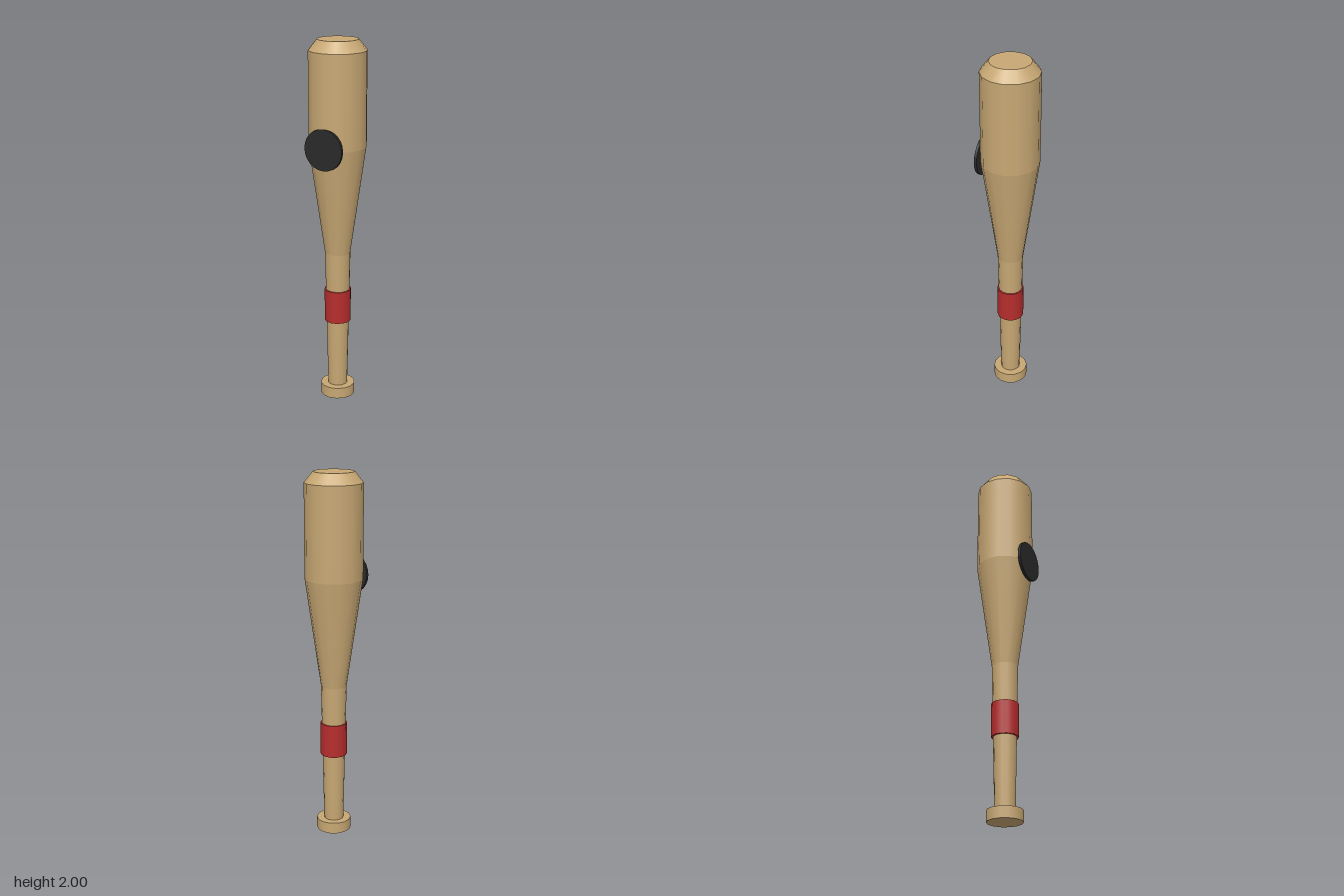
import * as THREE from 'three';

const SIDES = 14;

export function createModel() {
  const bat = new THREE.Group();
  bat.name = 'bat';

  const material = (name, color) => {
    const m = new THREE.MeshStandardMaterial({ color });
    m.name = name;
    return m;
  };
  const wood = material('wood', 0xc8a874);
  const red = material('red grip', 0xb72d2d);
  const black = material('black badge', 0x2a2a2a);

  // Upright tapered section between two heights
  const section = (name, y0, y1, r0, r1, mat) => {
    const mesh = new THREE.Mesh(new THREE.CylinderGeometry(r1, r0, y1 - y0, SIDES), mat);
    mesh.position.y = (y0 + y1) / 2;
    mesh.name = name;
    bat.add(mesh);
  };

  section('knob', 0, 0.062, 0.095, 0.095, wood);
  section('handle', 0.062, 0.845, 0.054, 0.07, wood);
  section('gripBand', 0.448, 0.632, 0.073, 0.073, red);
  section('taper', 0.845, 1.44, 0.07, 0.155, wood);
  section('barrel', 1.44, 1.943, 0.155, 0.155, wood);
  section('tip', 1.943, 2, 0.155, 0.109, wood);

  // Round badge on the front of the barrel
  const badge = new THREE.Mesh(new THREE.CylinderGeometry(0.111, 0.111, 0.015, 24), black);
  badge.rotation.x = Math.PI / 2;
  badge.position.set(0, 1.448, 0.148);
  badge.name = 'badge';
  bat.add(badge);

  return bat;
}
